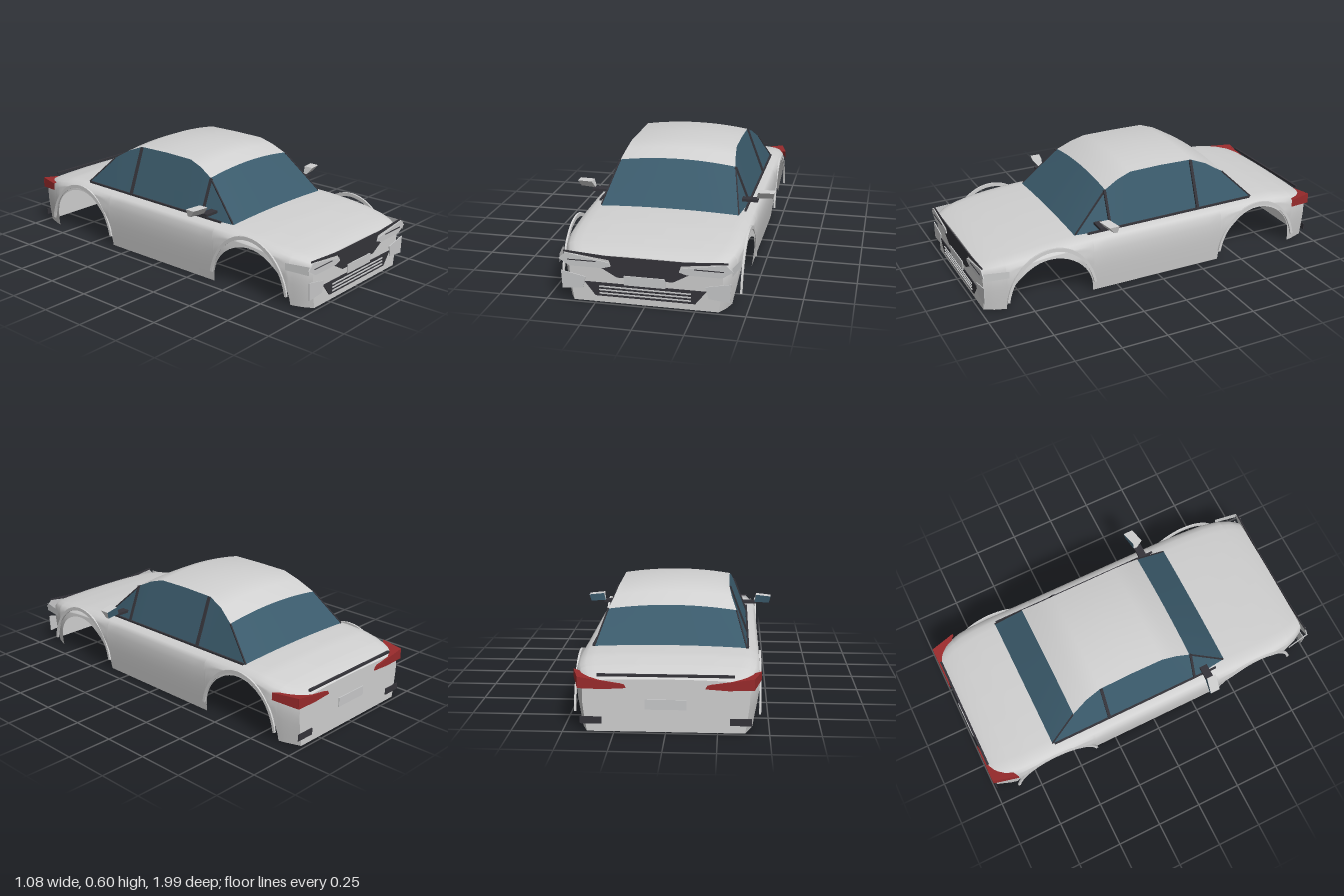
import * as THREE from 'three';

const mat = (name, color) => {
  const m = new THREE.MeshStandardMaterial({ color, side: THREE.DoubleSide });
  m.name = name;
  return m;
};

// Linear interpolation in a list of [position, value] pairs, ascending
function interp(list, p) {
  if (p <= list[0][0]) return list[0][1];
  for (let i = 1; i < list.length; i++) {
    const [a, u] = list[i - 1], [b, v] = list[i];
    if (p <= b) return u + (v - u) * (p - a) / (b - a);
  }
  return list[list.length - 1][1];
}

// Surface through rows of [x, y, z] points
function loft(rows) {
  const n = rows[0].length, index = [];
  for (let r = 0; r < rows.length - 1; r++)
    for (let c = 0; c < n - 1; c++) {
      const a = r * n + c, b = a + n;
      index.push(a, b, a + 1, b, b + 1, a + 1);
    }
  const g = new THREE.BufferGeometry();
  g.setAttribute('position', new THREE.Float32BufferAttribute(rows.flat(2), 3));
  g.setIndex(index);
  g.computeVertexNormals();
  return g;
}

const shapeOf = pts => new THREE.Shape(pts.map(p => new THREE.Vector2(p[0], p[1])));
const flip = pts => pts.map(([x, y]) => [-x, y]).reverse();
const mirrored = half => [...half, ...flip(half)];

export function createModel() {
  const car = new THREE.Group();
  car.name = 'carBody';
  const paint = mat('paint', 0xd0d0d0), glass = mat('glass', 0x3b5b6c), dark = mat('darkTrim', 0x35343a);
  const red = mat('redLens', 0x9a2b2c), lens = mat('paleLens', 0xc8c9ca);

  const add = (name, geo, m) => {
    const mesh = new THREE.Mesh(geo, m);
    mesh.name = name;
    car.add(mesh);
    return mesh;
  };
  // Thin plate facing along z
  const plate = (name, pts, z, m) =>
    add(name, new THREE.ExtrudeGeometry(shapeOf(pts), { depth: 0.005, bevelEnabled: false }), m).position.z = z;
  const rect = (x0, x1, y0, y1) => [[x0, y0], [x1, y0], [x1, y1], [x0, y1]];
  // Square bar between two points
  const bar = (name, a, b, t, m) => {
    const p = new THREE.Vector3(...a), q = new THREE.Vector3(...b);
    const mesh = add(name, new THREE.BoxGeometry(t, t, p.distanceTo(q)), m);
    mesh.position.copy(p).add(q).multiplyScalar(0.5);
    mesh.lookAt(q);
  };

  // Lower body: sections lofted along z, lifted over the wheel openings
  const width = [[-0.98, 0.405], [-0.9, 0.435], [-0.82, 0.455], [-0.7, 0.46], [0.55, 0.46], [0.75, 0.455], [0.86, 0.44], [0.93, 0.415], [0.98, 0.385]];
  const deck = [[-0.98, 0.265], [-0.94, 0.285], [-0.87, 0.305], [-0.75, 0.328], [-0.62, 0.335], [-0.4, 0.328], [0.3, 0.324], [0.5, 0.318], [0.65, 0.308], [0.8, 0.29], [0.92, 0.27], [0.98, 0.25]];
  const sideX = [[0, 0.945], [0.35, 0.98], [0.65, 1], [0.86, 0.985], [0.92, 0.95], [0.955, 0.89]];
  const arches = [{ z: 0.63, r: 0.24, h: 0.25 }, { z: -0.622, r: 0.242, h: 0.28 }];
  const section = z => {
    const w = interp(width, z), yd = interp(deck, z);
    let low = 0;
    for (const a of arches) {
      const d = (z - a.z) / a.r;
      if (Math.abs(d) < 1) low = a.h * Math.sqrt(1 - d * d);
    }
    const half = [];
    for (let i = 0; i <= 6; i++) {
      const t = low / yd + (0.86 - low / yd) * i / 6;
      half.push([w * interp(sideX, t), t * yd, z]);
    }
    for (const t of [0.92, 0.955]) half.push([w * interp(sideX, t), t * yd, z]);
    for (const [k, t] of [[0.8, 0.972], [0.55, 0.988], [0.28, 0.997]]) half.push([w * k, t * yd, z]);
    return [...half, [0, yd, z], ...half.map(([x, y, q]) => [-x, y, q]).reverse()];
  };
  const stations = [-0.98, -0.96, -0.94, -0.9, -0.87, 0.89, 0.93, 0.96, 0.98];
  for (let i = 1; i < 10; i++) stations.push(-0.38 + 0.077 * i);
  for (const a of arches)
    for (let i = 0; i <= 24; i++) stations.push(a.z + a.r * Math.cos(Math.PI * i / 24));
  stations.sort((a, b) => a - b);
  add('bodyShell', loft(stations.map(section)), paint);
  for (const [name, z] of [['frontPanel', 0.98], ['rearPanel', -0.98]]) {
    const g = new THREE.ShapeGeometry(shapeOf(section(z)));
    if (z < 0) g.rotateY(Math.PI);
    add(name, g, paint).position.z = z;
  }

  // Cabin: upper window edge and roof crown, from front to back [z, x, y]
  const edge = [[0.465, 0.37, 0.312], [0.26, 0.318, 0.51], [0.18, 0.305, 0.55], [0.1, 0.297, 0.575], [-0.08, 0.295, 0.578],
    [-0.27, 0.297, 0.575], [-0.36, 0.31, 0.54], [-0.45, 0.335, 0.485], [-0.61, 0.39, 0.325]];
  const crownRow = ([z, x, y], i) => {
    const rise = i === 0 || i === 8 ? 0.01 : 0.024, row = [];
    for (let k = -8; k <= 8; k++) row.push([x * k / 8, y + rise * (1 - (k / 8) ** 2), z]);
    return row;
  };
  const rows = edge.map(crownRow);
  add('windshield', loft(rows.slice(0, 2)), glass);
  add('roof', loft(rows.slice(1, 8)), paint);
  add('rearWindow', loft(rows.slice(7)), glass);

  for (const s of [1, -1]) {
    const side = s > 0 ? 'left' : 'right';
    add(side + 'SideWindow', loft([
      edge.map(([z, x, y]) => [s * x, y, z]),
      edge.map(([z], i) => [s * (i === 0 ? 0.372 : 0.395), 0.312, z]),
    ]), glass);
    bar(side + 'FrontWindowPost', [s * 0.395, 0.318, 0.265], [s * 0.32, 0.508, 0.265], 0.013, dark);
    bar(side + 'CentrePost', [s * 0.395, 0.318, -0.265], [s * 0.298, 0.573, -0.265], 0.016, dark);
    bar(side + 'BeltTrim', [s * 0.397, 0.318, 0.4], [s * 0.397, 0.325, -0.6], 0.01, dark);
    bar(side + 'WindshieldTrim', [s * 0.372, 0.315, 0.46], [s * 0.319, 0.51, 0.26], 0.007, dark);
    bar(side + 'RearWindowTrim', [s * 0.335, 0.485, -0.45], [s * 0.39, 0.325, -0.61], 0.007, dark);

    // Wheel arch lips
    for (const a of arches) {
      const ring = [];
      for (let i = 0; i <= 24; i++) ring.push([0.256, 0.312, i]);
      for (let i = 24; i >= 0; i--) ring.push([0.242, 0.292, i]);
      const pts = ring.map(([rx, ry, i]) => {
        const t = 0.2 + (Math.PI - 0.4) * i / 24;
        return [rx * Math.cos(t), ry * Math.sin(t)];
      });
      const g = new THREE.ExtrudeGeometry(shapeOf(pts), { depth: 0.01, bevelEnabled: false });
      g.rotateY(-Math.PI / 2);
      const lip = add(side + (a.z > 0 ? 'Front' : 'Rear') + 'ArchLip', g, paint);
      lip.position.set(s * 0.456 + 0.005, 0, a.z);
    }

    // Mirror: dark arm, wedge housing leaning forward at the top, glass at the back
    const arm = add(side + 'MirrorArm', new THREE.BoxGeometry(0.085, 0.014, 0.045), dark);
    arm.position.set(s * 0.412, 0.357, 0.33);
    const wedge = [[0.445, 0.362, 0.36], [0.53, 0.362, 0.345], [0.54, 0.4, 0.34], [0.455, 0.405, 0.36]];
    const outer = wedge.map(([x, y, z], i) => [s * x, y, z - (i < 2 ? 0.035 : 0)]);
    const inner = wedge.map(([x, y, z]) => [s * x, y, z - 0.055]);
    const head = loft([[...outer, outer[0]], [...inner, inner[0]]]).toNonIndexed();
    head.computeVertexNormals();
    add(side + 'MirrorHousing', head, paint);
    add(side + 'MirrorFront', loft([[outer[0], outer[1]], [outer[3], outer[2]]]), paint);
    add(side + 'MirrorGlass', loft([[inner[0], inner[1]], [inner[3], inner[2]]]), glass);

    // Front lamps and corner vents
    const m = pts => (s > 0 ? pts : flip(pts));
    plate(side + 'Headlight', m([[0.435, 0.22], [0.4, 0.253], [0.18, 0.215], [0.17, 0.197], [0.21, 0.185], [0.38, 0.185]]), 0.988, lens);
    plate(side + 'HeadlightLine', m(rect(0.245, 0.39, 0.216, 0.22)), 0.991, dark);
    add(side + 'HeadlightReturn', loft([
      [[s * 0.43, 0.195, 0.99], [s * 0.43, 0.24, 0.99]],
      [[s * 0.452, 0.198, 0.86], [s * 0.452, 0.235, 0.86]],
    ]), lens);
    plate(side + 'FrontCorner', m([[0.425, 0.155], [0.3, 0.13], [0.315, 0.07], [0.42, 0.06]]), 0.985, lens);

    // Tail lamps wrap round the corner
    plate(side + 'TailLamp', m([[0.425, 0.275], [0.425, 0.218], [0.3, 0.215], [0.19, 0.222], [0.2, 0.24]]), -0.99, red);
    add(side + 'TailLampReturn', loft([
      [[s * 0.425, 0.218, -0.988], [s * 0.425, 0.275, -0.988]],
      [[s * 0.462, 0.235, -0.85], [s * 0.462, 0.275, -0.85]],
    ]), red);
    add(side + 'TailLampTop', loft([
      [[s * 0.425, 0.275, -0.988], [s * 0.2, 0.24, -0.988]],
      [[s * 0.462, 0.275, -0.85], [s * 0.34, 0.265, -0.95]],
    ]), red);
    plate(side + 'RearReflector', m(rect(0.31, 0.415, 0.04, 0.075)), -0.988, dark);
  }

  // Front grilles and number plate
  plate('upperGrille', mirrored([[0.14, 0.14], [0.22, 0.185], [0.17, 0.2], [0.18, 0.228], [0.41, 0.255], [0.41, 0.263], [0.2, 0.248]]), 0.984, dark);
  plate('lowerGrille', mirrored([[0.25, 0.036], [0.305, 0.106]]), 0.985, dark);
  for (const y of [0.052, 0.07, 0.088]) plate('grilleBar', rect(-0.23, 0.23, y - 0.003, y + 0.003), 0.99, lens);
  plate('frontPlate', rect(-0.103, 0.103, 0.106, 0.155), 0.992, lens);

  // Rear trim bar and number plate
  bar('trunkTrim', [-0.33, 0.282, -0.975], [0.33, 0.282, -0.975], 0.012, dark);
  plate('rearPlate', rect(-0.1, 0.1, 0.115, 0.165), -0.988, lens);

  return car;
}
